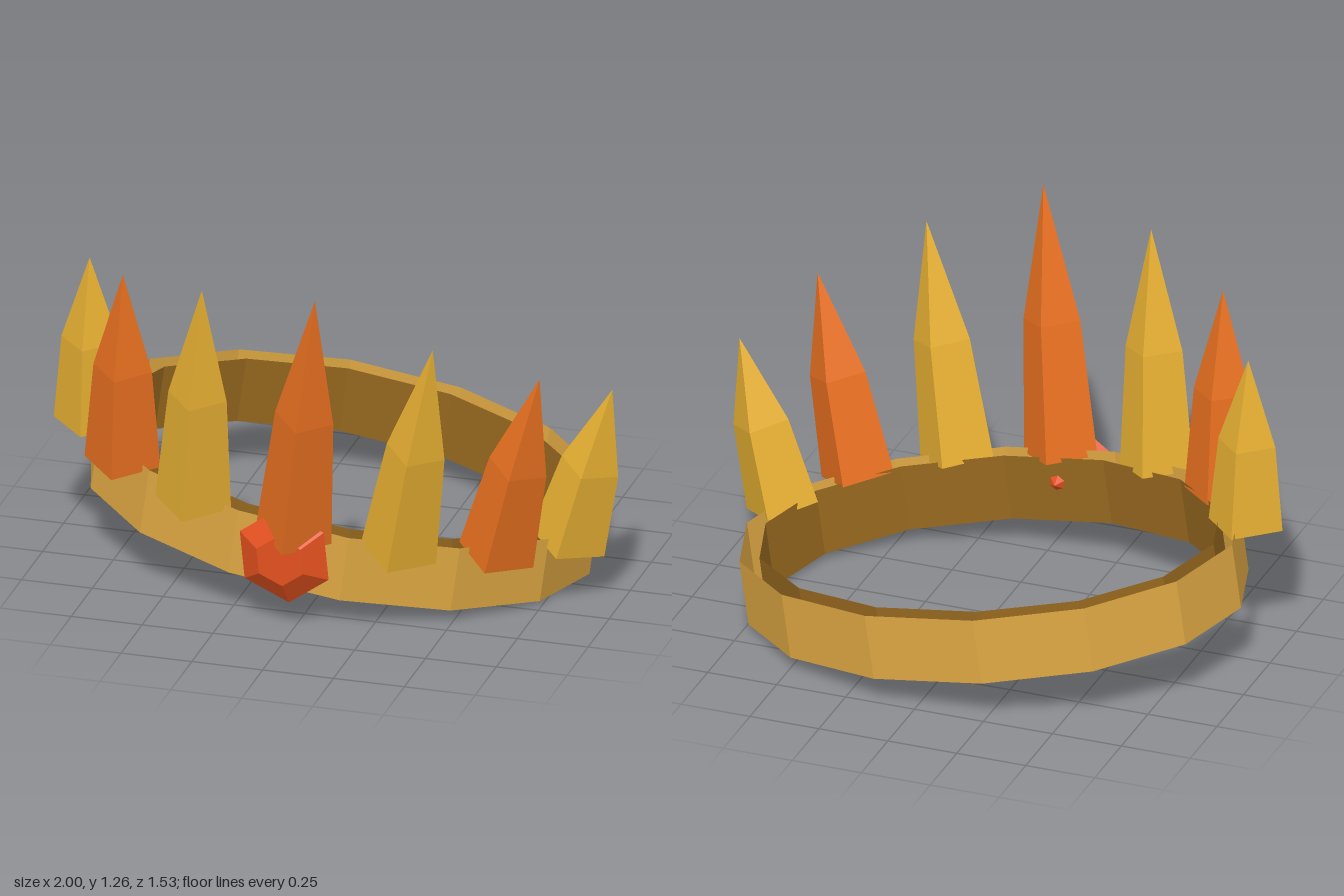
import * as THREE from 'three';

function flat(name, color, side = THREE.FrontSide) {
  const m = new THREE.MeshStandardMaterial({ color, flatShading: true, side });
  m.name = name;
  return m;
}

// Four-sided spike with a shoulder halfway up, standing between two points
function makeSpike(base, tip, radius, material) {
  const from = new THREE.Vector3(...base);
  const axis = new THREE.Vector3(...tip).sub(from);
  const height = axis.length();
  const geo = new THREE.CylinderGeometry(0, radius, height, 4, 2);
  const pos = geo.attributes.position;
  for (let i = 0; i < pos.count; i++) {
    if (Math.abs(pos.getY(i)) < 0.001) {
      pos.setX(i, pos.getX(i) * 1.54);
      pos.setZ(i, pos.getZ(i) * 1.54);
    }
  }
  geo.translate(0, height / 2, 0);
  const mesh = new THREE.Mesh(geo, material);
  mesh.position.copy(from);
  mesh.quaternion.setFromUnitVectors(new THREE.Vector3(0, 1, 0), axis.normalize());
  return mesh;
}

export function createModel() {
  const crown = new THREE.Group();
  crown.name = 'crown';
  const bandGold = flat('bandGold', 0xdca642, THREE.DoubleSide);
  const innerGold = flat('innerGold', 0x94661e, THREE.DoubleSide);
  const yellow = flat('spikeYellow', 0xe6af32);
  const orange = flat('spikeOrange', 0xe87020);
  const red = flat('gemRed', 0xe2501e);

  // Band: two open oval walls, tipped down towards the left side
  const band = new THREE.Group();
  band.name = 'band';
  const walls = [
    ['outerWall', 0.888, 0.683, bandGold],
    ['innerWall', 0.82, 0.612, innerGold],
  ];
  for (const [name, rx, rz, material] of walls) {
    const geo = new THREE.CylinderGeometry(1, 1, 0.236, 14, 1, true, Math.PI / 2);
    geo.scale(rx, 1, rz);
    const wall = new THREE.Mesh(geo, material);
    wall.name = name;
    band.add(wall);
  }
  band.position.set(-0.036, 0.241, -0.096);
  band.rotation.z = -0.138;
  crown.add(band);

  // Spikes around the front half, alternating colours: base centre, tip
  const spikes = [
    [[-0.865, 0.447, 0.12], [-0.865, 1.06, 0.145]],
    [[-0.685, 0.42, 0.36], [-0.66, 1.145, 0.44]],
    [[-0.385, 0.378, 0.53], [-0.32, 1.215, 0.645]],
    [[-0.012, 0.328, 0.592], [0.105, 1.265, 0.733]],
    [[0.34, 0.28, 0.53], [0.495, 1.095, 0.645]],
    [[0.635, 0.24, 0.362], [0.81, 0.94, 0.438]],
    [[0.815, 0.206, 0.12], [0.98, 0.8, 0.145]],
  ];
  spikes.forEach(([base, tip], i) => {
    const spike = makeSpike(base, tip, 0.134, i % 2 ? orange : yellow);
    spike.name = 'spike' + (i + 1);
    crown.add(spike);
  });

  // Six-sided cut gem: rear point, girdle, flat front table
  const profile = [[0, -0.155], [0.172, 0], [0.09, 0.055], [0, 0.055]];
  const gemGeo = new THREE.LatheGeometry(profile.map(([x, y]) => new THREE.Vector2(x, y)), 6);
  gemGeo.rotateX(Math.PI / 2);
  const gem = new THREE.Mesh(gemGeo, red);
  gem.name = 'gem';
  gem.position.set(-0.034, 0.266, 0.63);
  gem.rotation.z = 0.1;
  crown.add(gem);

  return crown;
}
